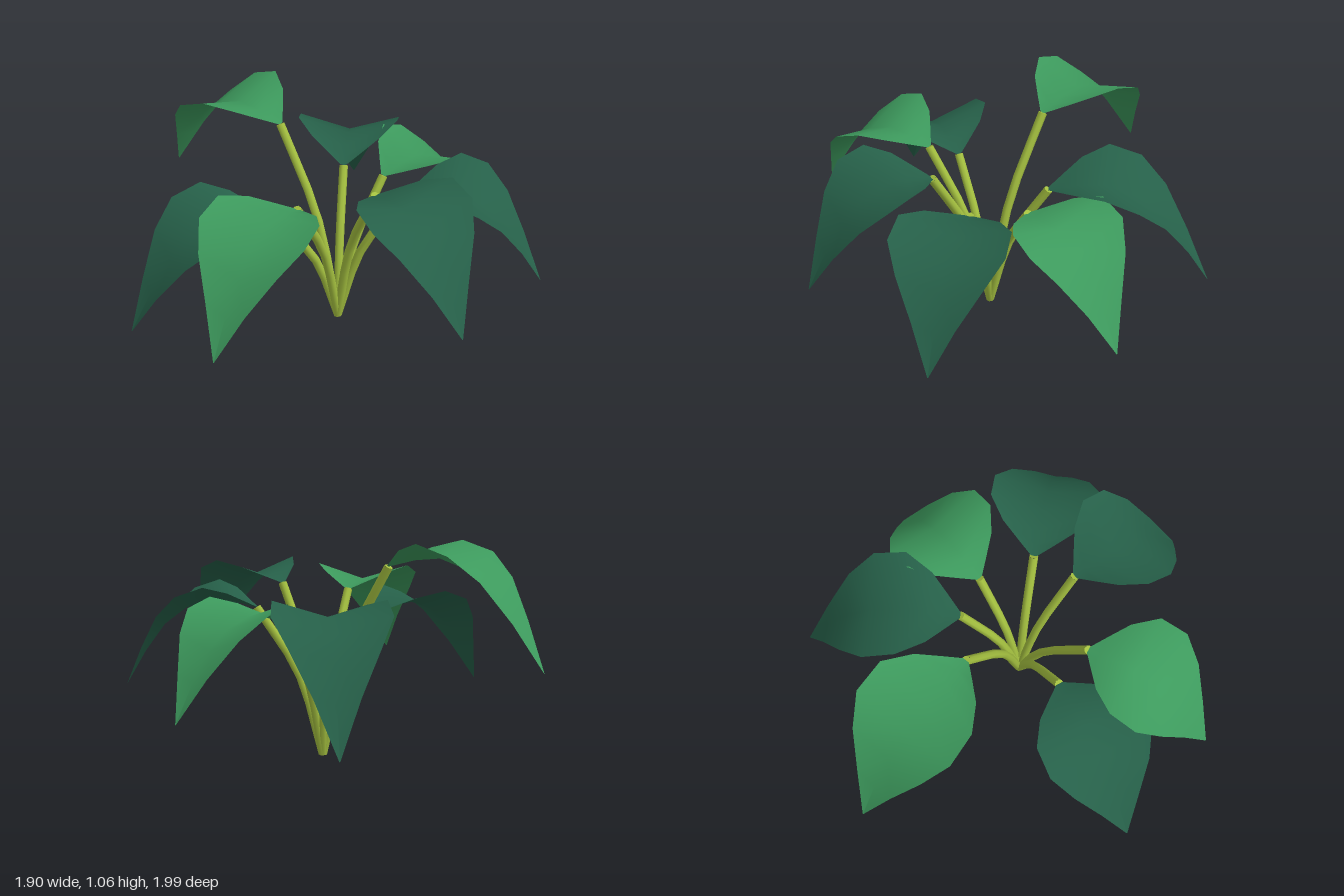
import * as THREE from 'three';

const BASE = new THREE.Vector3(-0.01, 0, 0.06);

// Leaf cross-sections from stalk to tip: [along, midrib height, half width]
const SECTIONS = [
  [0, 0, 0.015], [0.08, 0.02, 0.085], [0.18, 0.045, 0.17], [0.34, 0.06, 0.248],
  [0.54, -0.01, 0.255], [0.7, -0.13, 0.19], [0.85, -0.33, 0.095], [1, -0.58, 0.002],
];
const FOLD = 0.3; // rise of the blade's edges per unit of half width

// Each leaf: stalk end, leaf tip, colour
const LEAVES = [
  { end: [-0.02, 0.69, -0.22], tip: [-0.07, 0.24, -1.0], tone: 'dark' },
  { end: [0.18, 0.68, -0.16], tip: [0.61, 0.30, -0.63], tone: 'light' },
  { end: [0.31, 0.72, 0.08], tip: [0.95, 0.34, 0.12], tone: 'dark' },
  { end: [0.19, 0.82, 0.28], tip: [0.61, 0.44, 0.75], tone: 'dark' },
  { end: [-0.14, 0.78, 0.38], tip: [-0.38, 0.40, 0.99], tone: 'light' },
  { end: [-0.28, 0.67, 0.27], tip: [-0.84, 0.27, 0.675], tone: 'dark' },
  { end: [-0.31, 0.93, -0.14], tip: [-0.95, 0.50, -0.53], tone: 'light' },
];

// Drooping blade folded in a V along its midrib
function leafGeometry(end, tip) {
  const along = new THREE.Vector3(tip.x - end.x, 0, tip.z - end.z);
  const side = new THREE.Vector3(-along.z, 0, along.x).normalize();
  const drop = (end.y - tip.y) / 0.58;
  const positions = [], index = [];
  SECTIONS.forEach(([t, h, w], row) => {
    for (const s of [-1, 0, 1]) {
      const p = end.clone().addScaledVector(along, t).addScaledVector(side, s * w);
      p.y += h * drop + Math.abs(s) * w * FOLD;
      positions.push(p.x, p.y, p.z);
    }
    if (row === SECTIONS.length - 1) return;
    for (let c = 0; c < 2; c++) {
      const a = row * 3 + c, b = a + 1, d = a + 3, e = a + 4;
      // diagonals mirrored about the midrib
      if (c === 0) index.push(a, b, d, b, e, d);
      else index.push(a, b, e, a, e, d);
    }
  });
  // wind the faces so that they look upward
  for (let i = 0; i < index.length; i += 3) {
    [index[i + 1], index[i + 2]] = [index[i + 2], index[i + 1]];
  }
  const g = new THREE.BufferGeometry();
  g.setAttribute('position', new THREE.Float32BufferAttribute(positions, 3));
  g.setIndex(index);
  g.computeVertexNormals();
  return g;
}

export function createModel() {
  const stalkGreen = new THREE.MeshStandardMaterial({ color: 0xa3bf3f });
  stalkGreen.name = 'stalkGreen';
  const light = new THREE.MeshStandardMaterial({ color: 0x3d9a5d, side: THREE.DoubleSide });
  light.name = 'lightLeafGreen';
  const dark = new THREE.MeshStandardMaterial({ color: 0x266049, side: THREE.DoubleSide });
  dark.name = 'darkLeafGreen';

  const plant = new THREE.Group();
  plant.name = 'plant';

  LEAVES.forEach((spec, i) => {
    const end = new THREE.Vector3(...spec.end);
    const tip = new THREE.Vector3(...spec.tip);
    const group = new THREE.Group();
    group.name = `leafWithStalk${i + 1}`;

    // Stalk rising steeply, then bending outward
    const bend = BASE.clone().lerp(end, 0.37);
    bend.y = end.y * 0.56;
    const path = new THREE.CatmullRomCurve3([BASE, bend, end]);
    const stalk = new THREE.Mesh(new THREE.TubeGeometry(path, 6, 0.021, 8), stalkGreen);
    stalk.name = 'stalk';
    group.add(stalk);

    // Flat caps closing both ends of the stalk
    for (const t of [0, 1]) {
      const cap = new THREE.Mesh(new THREE.CircleGeometry(0.021, 8), stalkGreen);
      cap.name = 'stalkCap';
      const dir = path.getTangent(t).multiplyScalar(t ? 1 : -1);
      cap.position.copy(t ? end : BASE);
      cap.quaternion.setFromUnitVectors(new THREE.Vector3(0, 0, 1), dir);
      group.add(cap);
    }

    const leaf = new THREE.Mesh(leafGeometry(end, tip), spec.tone === 'light' ? light : dark);
    leaf.name = 'leaf';
    group.add(leaf);
    plant.add(group);
  });
  return plant;
}
